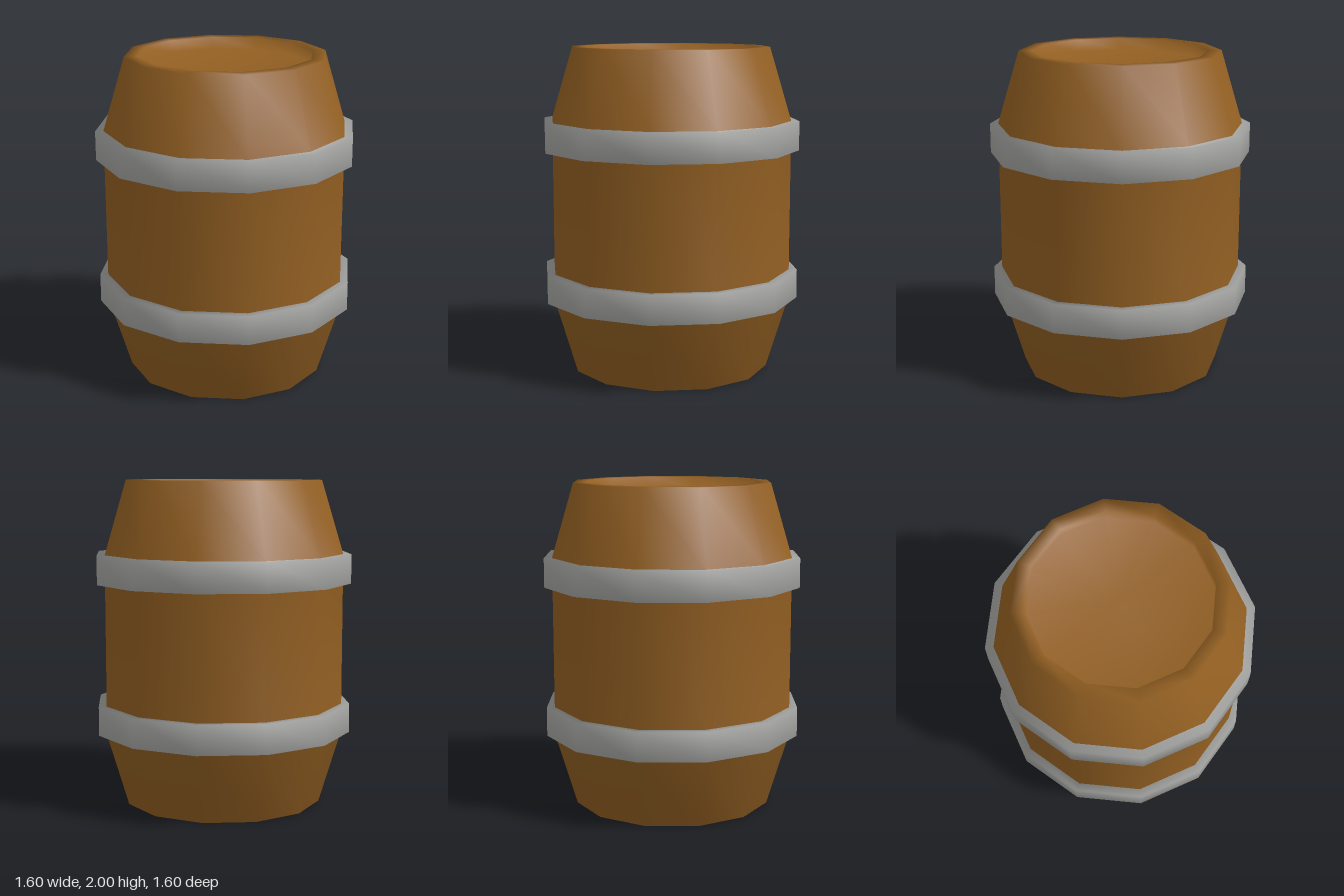
import * as THREE from 'three';
import { mergeVertices } from 'three/addons/utils/BufferGeometryUtils.js';

const SIDES = 12;

// Half of the outline: recessed head, rim, flared staves, raised hoop
const HALF = [
  [0, 0.075], [0.533, 0.075], [0.533, 0], [0.614, 0], [0.749, 0.448],
  [0.799, 0.448], [0.799, 0.627], [0.749, 0.627],
];
const PROFILE = [...HALF, ...HALF.map(([r, y]) => [r, 2 - y]).reverse()];

// One turned surface, its normals smoothed across every edge
function turnedSurface() {
  const lathe = new THREE.LatheGeometry(PROFILE.map(([r, y]) => new THREE.Vector2(r, y)), SIDES);
  lathe.deleteAttribute('uv');
  lathe.deleteAttribute('normal');
  const surface = mergeVertices(lathe, 1e-4);
  surface.computeVertexNormals();
  return surface;
}

// The strip of the surface between two profile points
function strip(surface, from, to) {
  const index = [];
  const bands = PROFILE.length - 1;
  for (let side = 0; side < SIDES; side++) {
    for (let i = (side * bands + from) * 6; i < (side * bands + to) * 6; i++) {
      index.push(surface.index.getX(i));
    }
  }
  return surface.clone().setIndex(index);
}

export function createModel() {
  const wood = new THREE.MeshStandardMaterial({ color: 0x925f22 });
  wood.name = 'brown wood';
  const metal = new THREE.MeshStandardMaterial({ color: 0xa6a6a4 });
  metal.name = 'grey metal';

  const barrel = new THREE.Group();
  barrel.name = 'barrel';
  const surface = turnedSurface();

  // Parts from the bottom up
  const parts = [
    ['lowerStaves', wood, 0, 4],
    ['lowerHoop', metal, 4, 7],
    ['middleStaves', wood, 7, 8],
    ['upperHoop', metal, 8, 11],
    ['upperStaves', wood, 11, 15],
  ];
  for (const [name, material, from, to] of parts) {
    const part = new THREE.Mesh(strip(surface, from, to), material);
    part.name = name;
    barrel.add(part);
  }
  return barrel;
}
